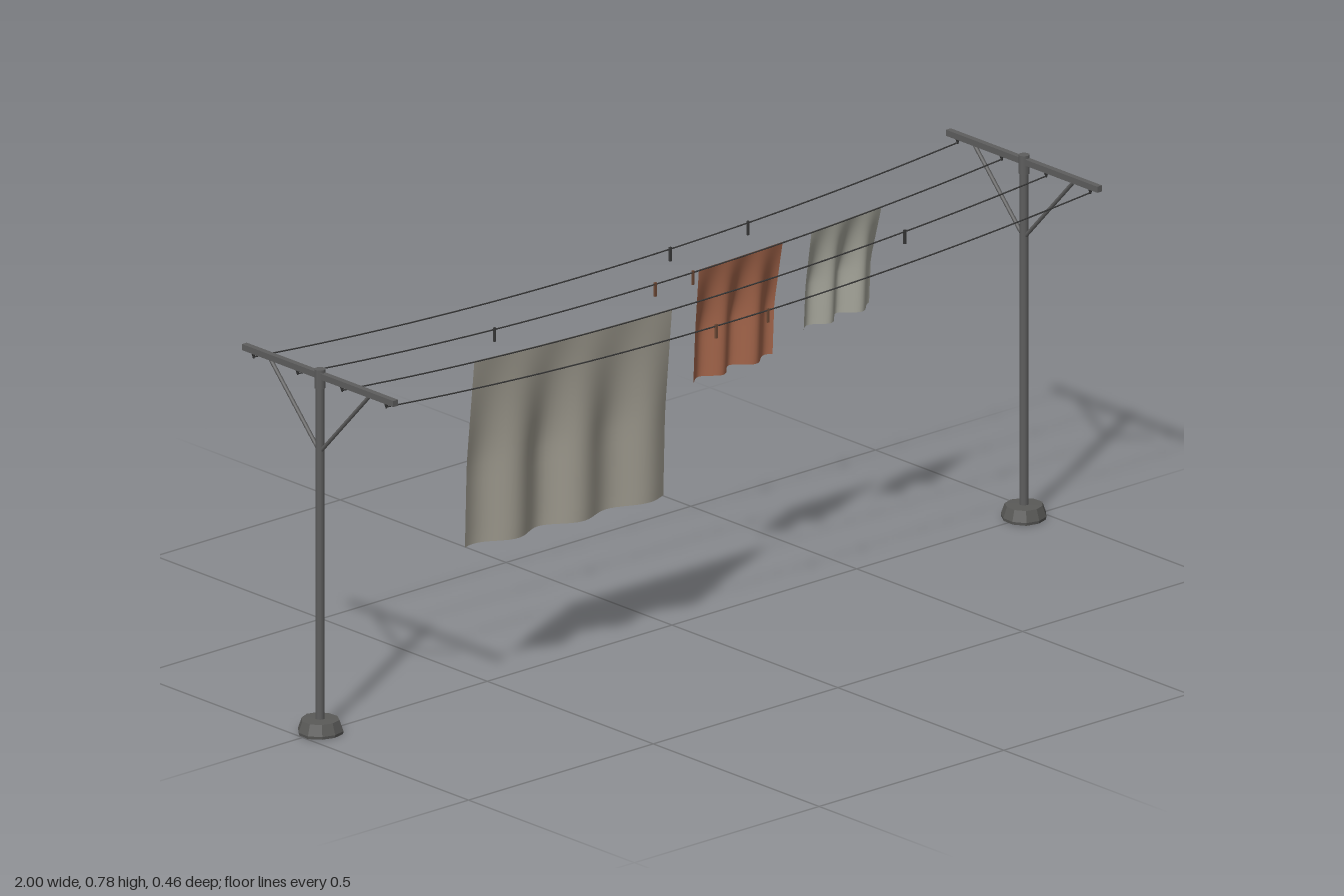
import * as THREE from 'three';

const mat = (name, color, side = THREE.FrontSide) => {
  const m = new THREE.MeshStandardMaterial({ color, side });
  m.name = name;
  return m;
};

const POST_X = 0.953;
const LINES = [-0.2, -0.067, 0.067, 0.2];
const lineY = (x) => 0.75 - 0.042 * (1 - (x / POST_X) ** 2);

export function createModel() {
  const group = new THREE.Group();
  const metal = mat('grey metal', 0x5e5e5e);
  const stone = mat('dark concrete', 0x5a5a58, THREE.DoubleSide);
  const cord = mat('dark cord', 0x3a3a3a);
  const wood = mat('brown wood', 0x6e4a36);
  const linen = mat('linen', 0xa39f93, THREE.DoubleSide);
  const rust = mat('rust cloth', 0xa5664b, THREE.DoubleSide);
  const pale = mat('pale cloth', 0xa8a89d, THREE.DoubleSide);

  const add = (parent, name, geo, material, x = 0, y = 0, z = 0) => {
    const mesh = new THREE.Mesh(geo, material);
    mesh.name = name;
    mesh.position.set(x, y, z);
    parent.add(mesh);
    return mesh;
  };

  // Straight round bar between two points
  const bar = (parent, name, a, b, r, material) => {
    const dir = b.clone().sub(a);
    const mesh = add(parent, name, new THREE.CylinderGeometry(r, r, dir.length(), 8), material);
    mesh.position.copy(a).add(b).multiplyScalar(0.5);
    mesh.quaternion.setFromUnitVectors(new THREE.Vector3(0, 1, 0), dir.normalize());
  };

  // Two T-shaped posts with braces and footings
  for (const side of [-1, 1]) {
    const post = new THREE.Group();
    post.name = side > 0 ? 'leftPost' : 'rightPost';
    post.position.x = side * POST_X;
    group.add(post);

    // Hollow footing, slightly uneven around its rim
    const profile = [[0.046, 0], [0.047, 0.006], [0.039, 0.029], [0.008, 0.03]];
    const foot = new THREE.LatheGeometry(profile.map(([r, y]) => new THREE.Vector2(r, y)), 10).toNonIndexed();
    const p = foot.attributes.position;
    for (let i = 0; i < p.count; i++) {
      const x = p.getX(i), z = p.getZ(i);
      const k = 1 + 0.035 * Math.sin(3 * Math.atan2(z, x) + side);
      p.setXYZ(i, x * k, p.getY(i), z * k);
    }
    foot.computeVertexNormals();
    add(post, 'footing', foot, stone);

    add(post, 'pole', new THREE.CylinderGeometry(0.009, 0.0095, 0.765, 10), metal, 0, 0.3825);
    add(post, 'poleCollar', new THREE.CylinderGeometry(0.0115, 0.0115, 0.04, 10), metal, 0, 0.758);
    add(post, 'crossbar', new THREE.BoxGeometry(0.013, 0.013, 0.456), metal, 0, 0.765);
    for (const s of [-1, 1]) {
      bar(post, 'brace', new THREE.Vector3(0, 0.6, 0), new THREE.Vector3(0, 0.762, s * 0.152), 0.0042, metal);
    }
    // Knots where the lines meet the crossbar
    for (const z of LINES) {
      add(post, 'lineKnot', new THREE.CylinderGeometry(0.005, 0.0015, 0.012, 6), cord, 0, 0.753, z);
    }
  }

  // Four sagging lines
  for (const z of LINES) {
    const pts = [];
    for (let i = 0; i <= 12; i++) {
      const x = POST_X * (i / 6 - 1);
      pts.push(new THREE.Vector3(x, lineY(x), z));
    }
    add(group, 'line', new THREE.TubeGeometry(new THREE.CatmullRomCurve3(pts), 32, 0.0016, 5), cord);
  }

  // Cloth hung from a line, blown back with folds that deepen downwards
  const cloth = (name, material, x0, x1, z, length, peak, period) => {
    const geo = new THREE.PlaneGeometry(1, 1, 40, 12);
    const p = geo.attributes.position;
    for (let i = 0; i < p.count; i++) {
      const x = x0 + (p.getX(i) + 0.5) * (x1 - x0);
      const t = 0.5 - p.getY(i);
      const fold = 0.5 + 0.5 * Math.cos((2 * Math.PI * (x - peak)) / period);
      const mid = 1 - 0.25 * Math.min(1, Math.abs(x - peak) / (period * 1.2));
      const depth = 0.012 * t + 0.033 * fold * mid * Math.min(1, t / 0.55);
      p.setXYZ(i, x, lineY(x) + 0.002 - t * length, z - depth);
    }
    geo.computeVertexNormals();
    add(group, name, geo, material);
  };
  cloth('bedSheet', linen, -0.595, -0.06, 0.067, 0.407, -0.38, 0.18);
  cloth('rustTowel', rust, 0.133, 0.36, -0.067, 0.248, 0.255, 0.09);
  cloth('paleTowel', pale, 0.438, 0.628, -0.067, 0.217, 0.545, 0.085);

  // Loose pegs: [x, z, material]
  const pegs = [
    [-0.06, 0.2, wood], [0.08, 0.2, wood], [0.57, 0.067, cord],
    [-0.42, -0.067, cord], [0.015, -0.067, wood], [0.117, -0.067, wood],
    [0.175, -0.2, cord], [0.385, -0.2, cord],
  ];
  for (const [x, z, material] of pegs) {
    add(group, 'peg', new THREE.BoxGeometry(0.005, 0.03, 0.004), material, x, lineY(x) - 0.011, z);
  }

  return group;
}
